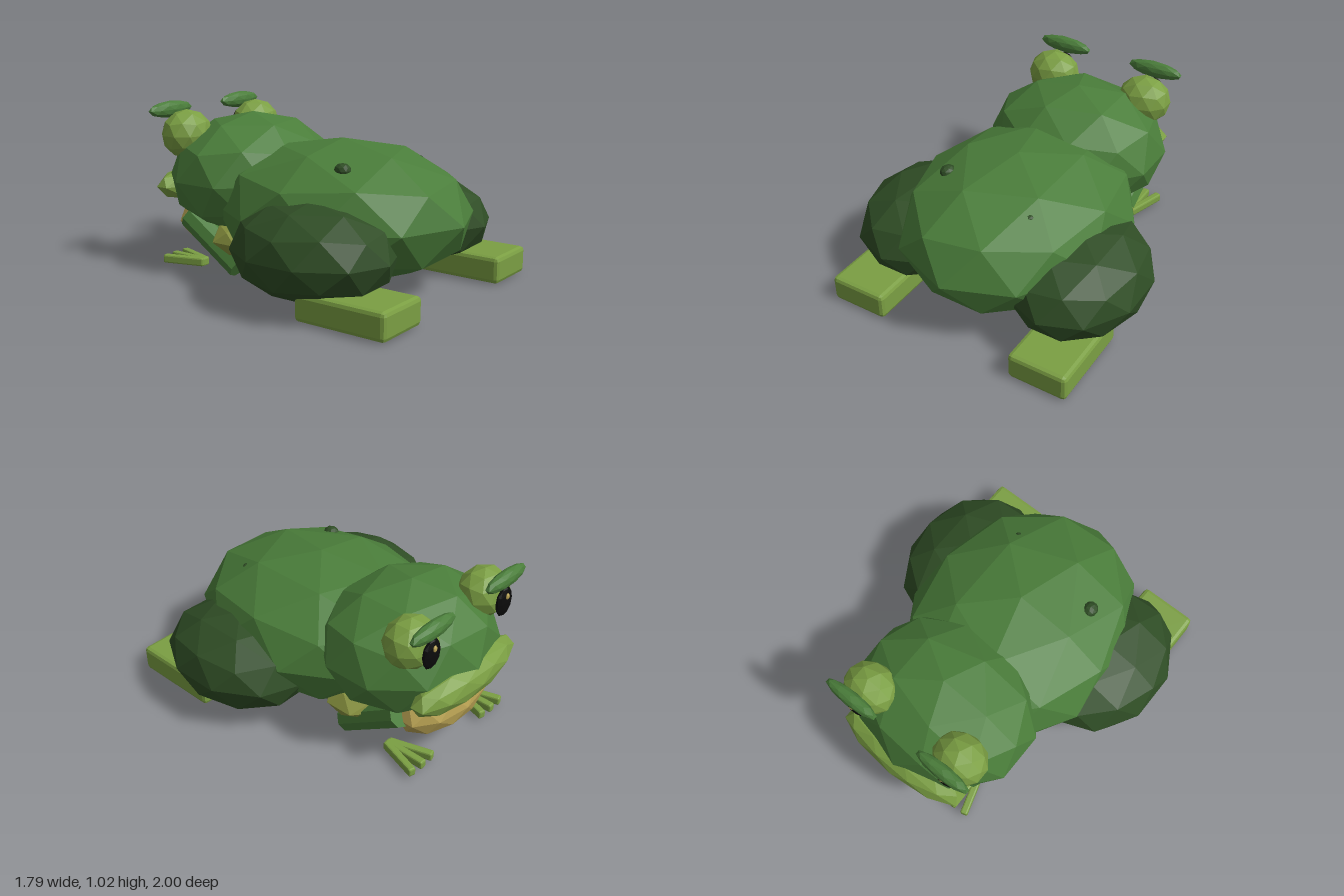
import * as THREE from 'three';
import { RoundedBoxGeometry } from 'three/addons/geometries/RoundedBoxGeometry.js';

const mat = (name, color) => {
  const m = new THREE.MeshStandardMaterial({ color });
  m.name = name;
  return m;
};

// Faceted ball with a corner at each pole
function facetedBall() {
  const g = new THREE.IcosahedronGeometry(1, 1);
  g.rotateX(-Math.atan2(0.8507, 0.5257));
  g.rotateY(-Math.PI / 2);
  return g;
}

export function createModel() {
  const green = mat('skin green', 0x4a7d3a);
  const dark = mat('dark green', 0x2f4d25);
  const light = mat('light green', 0x7b9f43);
  const olive = mat('belly olive', 0x8a9440);
  const tan = mat('throat tan', 0xb9a253);
  const black = mat('pupil black', 0x0b0b0b);

  const frog = new THREE.Group();
  frog.name = 'frog';

  const add = (name, geometry, material, pos) => {
    const m = new THREE.Mesh(geometry, material);
    m.name = name;
    m.position.set(...pos);
    frog.add(m);
    return m;
  };

  const blob = (name, material, pos, radii) => {
    const g = facetedBall().scale(...radii);
    g.computeVertexNormals();
    return add(name, g, material, pos);
  };

  const block = (name, material, pos, [w, h, d], bevel) => {
    let g = new RoundedBoxGeometry(w, h, d, 1, bevel);
    if (g.index) g = g.toNonIndexed();
    g.computeVertexNormals();
    return add(name, g, material, pos);
  };

  // Trunk and head
  blob('body', green, [0, 0.445, 0.2], [0.66, 0.415, 0.8]);
  blob('belly', olive, [0, 0.23, -0.34], [0.47, 0.14, 0.28]);
  blob('head', green, [0, 0.58, -0.48], [0.563, 0.38, 0.48]);
  blob('lip', light, [0, 0.5, -0.87], [0.44, 0.125, 0.13]);
  blob('throat', tan, [0, 0.29, -0.735], [0.36, 0.17, 0.18]);

  // Warts, mostly sunk into the back
  blob('wartRight', dark, [-0.33, 0.745, 0.43], [0.045, 0.04, 0.05]);
  blob('wartLeft', dark, [0.285, 0.728, 0.54], [0.03, 0.025, 0.03]);

  for (const [side, s] of [['Left', 1], ['Right', -1]]) {
    // Eyes and brows
    blob('eye' + side, light, [s * 0.32, 0.835, -0.735], [0.165, 0.15, 0.145]);
    blob('pupil' + side, black, [s * 0.32, 0.825, -0.872], [0.07, 0.095, 0.026]);
    blob('glint' + side, tan, [s * 0.32, 0.865, -0.892], [0.016, 0.02, 0.012]);
    blob('brow' + side, green, [s * 0.318, 0.975, -0.872], [0.18, 0.052, 0.043]);

    // Hind legs
    blob('thigh' + side, dark, [s * 0.515, 0.325, 0.37], [0.4, 0.28, 0.49]);
    block('hindFoot' + side, light, [s * 0.6, 0.095, 0.72], [0.36, 0.16, 0.56], 0.025);

    // Front legs slope up towards the chin
    let g = new THREE.CylinderGeometry(0.08, 0.08, 0.466, 8).toNonIndexed();
    g.computeVertexNormals();
    const leg = add('frontLeg' + side, g, green, [s * 0.335, 0.205, -0.505]);
    leg.rotation.x = -Math.atan2(0.39, 0.255);

    // Three splayed toes
    for (const i of [-1, 0, 1]) {
      const toe = block('toe' + side + (i + 2), light,
        [s * 0.325 + i * 0.05, 0.052, -0.735], [0.045, 0.052, 0.27], 0.01);
      toe.rotation.y = -i * 0.3;
    }
  }
  return frog;
}
